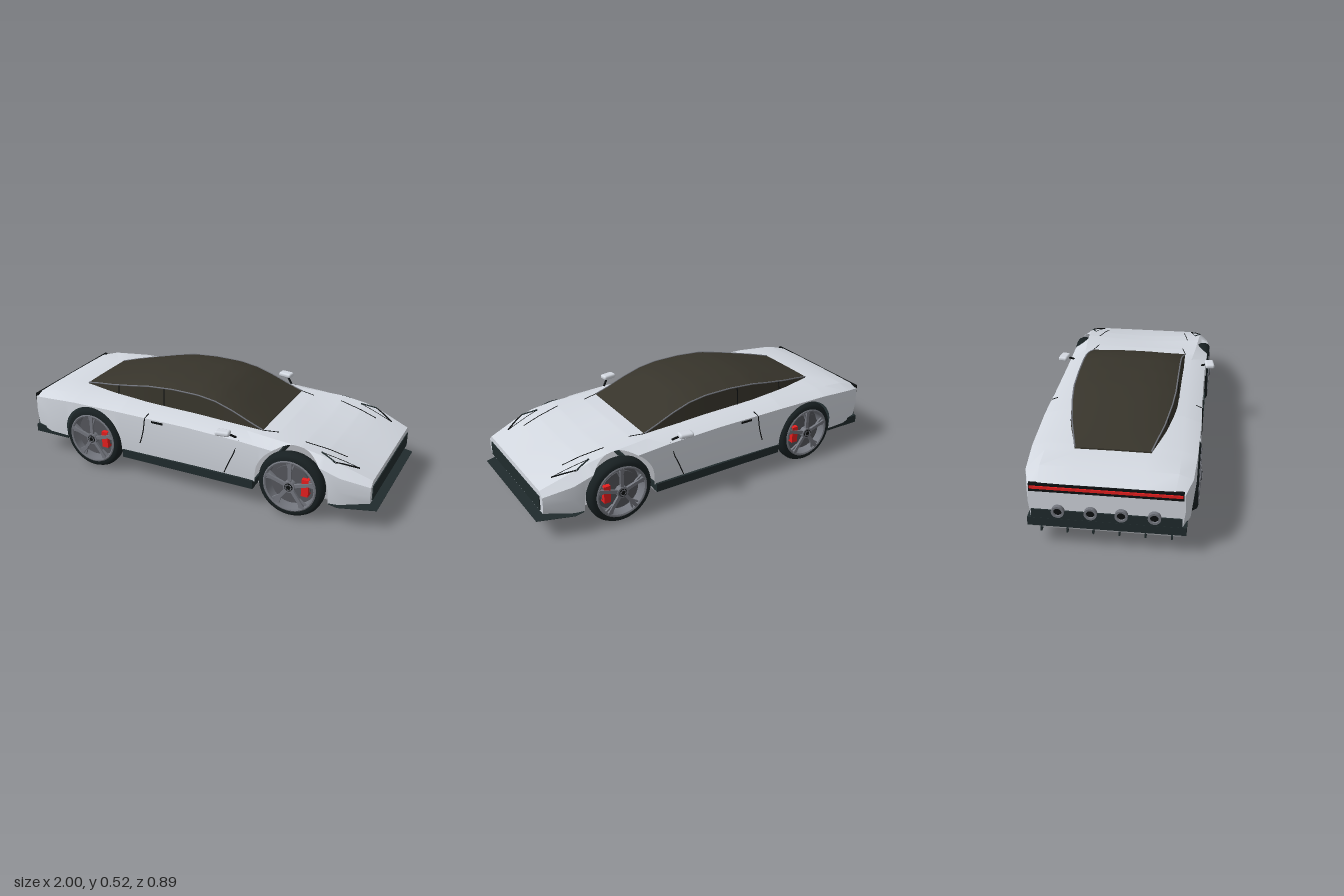
import * as THREE from 'three';
import { toCreasedNormals } from 'three/addons/utils/BufferGeometryUtils.js';
import { RoundedBoxGeometry } from 'three/addons/geometries/RoundedBoxGeometry.js';

const mat = (name, color, side = THREE.FrontSide) => {
  const m = new THREE.MeshStandardMaterial({ color, side });
  m.name = name;
  return m;
};

// Linear lookup in a table of rows sorted by their first value
function lookup(rows, x) {
  let i = 0;
  while (i < rows.length - 2 && x > rows[i + 1][0]) i++;
  const a = rows[i], b = rows[i + 1];
  const t = THREE.MathUtils.clamp((x - a[0]) / (b[0] - a[0]), 0, 1);
  return a.map((v, k) => v + (b[k] - v) * t);
}

// Symmetric loft along x; section(x) gives half a section, [z, y], from centre to lower edge
function loft(xs, section, crease) {
  const pos = [], idx = [];
  let n = 0;
  xs.forEach((x) => {
    const half = section(x);
    const ring = [...half.slice(1).reverse(), ...half.map(([z, y]) => [-z, y])];
    n = ring.length;
    ring.forEach(([z, y]) => pos.push(x, y, z));
  });
  for (let i = 0; i < xs.length - 1; i++) for (let j = 0; j < n - 1; j++) {
    const a = i * n + j, b = a + 1, c = a + n, d = c + 1;
    idx.push(a, c, b, b, c, d);
  }
  const e = (xs.length - 1) * n;
  for (let j = 1; j < n - 1; j++) idx.push(0, j, j + 1, e, e + j + 1, e + j);
  const g = new THREE.BufferGeometry();
  g.setAttribute('position', new THREE.Float32BufferAttribute(pos, 3));
  g.setIndex(idx);
  return toCreasedNormals(g, crease);
}

// Body stations: x, centre top, edge top, shoulder y, edge half width, shoulder half width, lower y
const BODY = [
  [-0.98, 0.342, 0.34, 0.325, 0.31, 0.355, 0.15],
  [-0.88, 0.375, 0.37, 0.345, 0.32, 0.385, 0.14],
  [-0.7, 0.386, 0.384, 0.36, 0.32, 0.395, 0.14],
  [-0.4, 0.395, 0.395, 0.365, 0.315, 0.398, 0.14],
  [0, 0.39, 0.388, 0.36, 0.31, 0.39, 0.14],
  [0.3, 0.378, 0.376, 0.35, 0.31, 0.39, 0.14],
  [0.45, 0.37, 0.371, 0.342, 0.325, 0.394, 0.14],
  [0.6, 0.347, 0.365, 0.33, 0.335, 0.395, 0.125],
  [0.72, 0.325, 0.345, 0.305, 0.34, 0.392, 0.115],
  [0.82, 0.302, 0.314, 0.27, 0.335, 0.385, 0.12],
  [0.965, 0.26, 0.26, 0.235, 0.315, 0.345, 0.145],
];
const AXLE_Y = 0.175;
const ARCHES = [[-0.58, 0.18], [0.575, 0.192]];

function bodySection(x) {
  const [, yc, yt, ys, wt, w, yb] = lookup(BODY, x);
  const pts = [[0, yc], [wt * 0.5, yc + (yt - yc) * 0.35], [wt, yt], [w, ys], [w + 0.003, (ys + yb) / 2], [w - 0.008, yb]];
  // Trim the side along the wheel arch
  for (const [c, r] of ARCHES) {
    const d = Math.abs(x - c);
    if (d > r) continue;
    const cut = AXLE_Y + Math.sqrt(r * r - d * d);
    let k = 3;
    while (k < 5 && pts[k][1] > cut) k++;
    const a = pts[k - 1], b = pts[k];
    const t = THREE.MathUtils.clamp((a[1] - cut) / (a[1] - b[1]), 0, 1);
    const p = [a[0] + (b[0] - a[0]) * t, a[1] + (b[1] - a[1]) * t];
    for (let i = k; i < 6; i++) pts[i] = p;
  }
  return pts;
}

// Points lying on the body: from above and on the side
const topY = (x, z) => lookup(bodySection(x).slice(0, 4), z)[1];
const sideZ = (x, y) => lookup(bodySection(x).slice(2).map(([z, h]) => [-h, z]), -y)[1];

// Cabin stations: x, centre top, edge top, edge half width
const CABIN = [
  [-0.74, 0.391, 0.389, 0.18], [-0.65, 0.422, 0.41, 0.203], [-0.55, 0.451, 0.43, 0.228], [-0.4, 0.491, 0.461, 0.252],
  [-0.3, 0.51, 0.481, 0.261], [-0.15, 0.52, 0.492, 0.262], [0, 0.518, 0.49, 0.262],
  [0.1, 0.5, 0.475, 0.262], [0.2, 0.463, 0.443, 0.264], [0.3, 0.414, 0.402, 0.267], [0.37, 0.379, 0.377, 0.27],
];
function cabinSection(x) {
  const [, yc, ye, w] = lookup(CABIN, x);
  const arc = [0, 0.3, 0.6, 0.85, 1].map((t) => [w * t, yc + (ye - yc) * t * t * t]);
  return [...arc, [w + 0.012 * Math.min(1, (ye - 0.37) * 12), 0.368]];
}

export function createModel() {
  const car = new THREE.Group();
  car.name = 'sportsCar';
  const silver = mat('silver paint', 0xd3d8e0, THREE.DoubleSide);
  const glass = mat('tinted glass', 0x37342b);
  const dark = mat('dark trim', 0x202b2d);
  const black = mat('black line', 0x0c0f10);
  const rubber = mat('tyre rubber', 0x182022);
  const rimGrey = mat('rim grey', 0x73767e);
  const discGrey = mat('disc grey', 0x54565c);
  const red = mat('red', 0xfa2222);
  const grey = mat('underside grey', 0x9c9ea3);

  const add = (name, geo, m, x = 0, y = 0, z = 0, parent = car) => {
    const mesh = new THREE.Mesh(geo, m);
    mesh.name = name;
    mesh.position.set(x, y, z);
    parent.add(mesh);
    return mesh;
  };
  // Box given by its limits
  const box = (name, m, x0, x1, y0, y1, z0, z1, parent) =>
    add(name, new THREE.BoxGeometry(x1 - x0, y1 - y0, z1 - z0), m, (x0 + x1) / 2, (y0 + y1) / 2, (z0 + z1) / 2, parent);
  const line = (name, m, pts, r = 0.003) => {
    const path = new THREE.CurvePath();
    const v = pts.map((p) => new THREE.Vector3(...p));
    for (let i = 1; i < v.length; i++) path.add(new THREE.LineCurve3(v[i - 1], v[i]));
    return add(name, new THREE.TubeGeometry(path, (v.length - 1) * 6, r, 5), m);
  };

  // Body shell and the sloping underside of the nose
  const xs = BODY.map((r) => r[0]);
  for (const [c, r] of ARCHES) {
    xs.push(c - r - 0.0005, c + r + 0.0005);
    for (let i = 0; i <= 28; i++) xs.push(c + r * Math.cos((i / 28) * Math.PI));
  }
  xs.sort((a, b) => a - b);
  add('bodyShell', loft(xs, bodySection, 0.35), silver);
  add('noseUnderside', loft([0.768, 0.82, 0.965], (x) => {
    const [w, y] = bodySection(x)[5];
    return [[0, y], [w, y]];
  }, 0.35), silver);

  // Cabin
  const cx = [];
  for (let i = 0; i <= 37; i++) cx.push(-0.74 + i * 0.03);
  add('cabinGlass', loft(cx, cabinSection, 0.5), glass);

  // Grille and a thin splitter blade
  box('grille', dark, 0.962, 0.97, 0.155, 0.23, -0.315, 0.315);
  const plan = new THREE.Shape();
  [[0.77, -0.38], [0.82, -0.392], [1, -0.335], [1, 0.335], [0.82, 0.392], [0.77, 0.38]]
    .forEach(([x, z], i) => (i ? plan.lineTo(x, z) : plan.moveTo(x, z)));
  const splitter = add('frontSplitter', new THREE.ExtrudeGeometry(plan, { depth: 0.002, bevelEnabled: false }), dark, 0, 0.113, 0);
  splitter.rotation.x = Math.PI / 2;

  // Floor, diffuser and rear bumper
  box('floor', dark, -0.75, 0.66, 0.083, 0.1, -0.28, 0.28);
  box('underPlate', grey, -0.77, 0.76, 0.099, 0.105, -0.32, 0.32);
  box('floorEdge', grey, -0.39, 0.37, 0.09, 0.104, -0.375, 0.375);
  box('floorFront', dark, 0.362, 0.372, 0.1, 0.135, -0.36, 0.36);
  box('rearBumper', dark, -0.988, -0.775, 0.112, 0.155, -0.365, 0.365);
  box('rearPanel', dark, -0.987, -0.978, 0.15, 0.2, -0.345, 0.345);
  box('diffuserPlate', grey, -0.98, -0.77, 0.1, 0.112, -0.34, 0.34);
  for (let i = 0; i < 6; i++) {
    const z = -0.3 + i * 0.12;
    box('diffuserFin', dark, -0.99, -0.79, 0.085, 0.105, z - 0.004, z + 0.004);
  }

  // Tail light and exhausts
  box('tailLightHousing', black, -0.988, -0.972, 0.3, 0.341, -0.35, 0.35);
  box('tailLight', red, -0.993, -0.982, 0.316, 0.33, -0.345, 0.345);
  for (const z of [-0.22, -0.07, 0.07, 0.22]) {
    const ring = [[0.02, -0.02], [0.03, -0.02], [0.03, 0.012], [0.02, 0.012], [0.02, -0.02]].map((p) => new THREE.Vector2(...p));
    add('exhaustPipe', toCreasedNormals(new THREE.LatheGeometry(ring, 20), 0.6), rimGrey, -0.988, 0.2, z).rotation.z = Math.PI / 2;
    add('exhaustBore', new THREE.CylinderGeometry(0.021, 0.021, 0.01, 20), black, -0.985, 0.2, z).rotation.z = Math.PI / 2;
  }

  for (const s of [1, -1]) {
    const zr = (a, b) => (s > 0 ? [a, b] : [-b, -a]);
    const top = (x, z) => [x, topY(x, z) + 0.0025, s * z];
    const side = (x, y) => [x, y, s * (sideZ(x, y) + 0.001)];

    // Side skirt
    box('sideSkirt', dark, -0.393, 0.374, 0.1, 0.145, ...zr(0.36, 0.396));

    // Roof rail and pillar lines
    line('roofRail', rimGrey, CABIN.map(([x, , ye, w]) => [x, ye, s * w]), 0.004);
    for (const x of [-0.2, -0.5]) {
      line('pillarLine', black, cabinSection(x).slice(4).map(([z, y]) => [x, y, s * z]));
    }

    // Door gaps and handle
    line('doorGapRear', black, [side(-0.24, 0.375), side(-0.245, 0.362), side(-0.255, 0.29), side(-0.265, 0.25), side(-0.28, 0.21)]);
    line('doorGapFront', black, [side(0.29, 0.353), side(0.265, 0.27), side(0.25, 0.24), side(0.21, 0.15)]);
    box('doorHandle', black, -0.205, -0.14, 0.345, 0.355, ...zr(0.389, 0.398));

    // Headlight, bonnet crease and cowl gap
    const a = top(0.7, 0.31), b = top(0.885, 0.28), c = top(0.78, 0.34);
    line('headlightInner', black, [a, top(0.76, 0.301), top(0.82, 0.29), b], 0.0015);
    line('headlightOuter', black, [c, top(0.82, 0.319), b], 0.004);
    line('headlightEdge', dark, [a, c], 0.005);
    line('bonnetCrease', black, [top(0.6, 0.27), top(0.66, 0.261), top(0.72, 0.252), top(0.81, 0.24)], 0.002);
    line('cowlGap', black, [top(0.37, 0.272), top(0.45, 0.25)], 0.002);

    // Door mirror
    line('mirrorStalk', black, [[0.27, 0.358, s * 0.37], [0.235, 0.385, s * 0.4]], 0.006);
    const mirror = add('mirror', new RoundedBoxGeometry(0.076, 0.026, 0.05, 3, 0.011), silver, 0.218, 0.393, s * 0.415);
    mirror.rotation.y = s * 0.15;

    // Jacking rings
    for (const x of [-0.33, 0.36]) {
      const ring = add('jackRing', new THREE.TorusGeometry(0.018, 0.006, 8, 18), grey, x, 0.082, s * 0.27);
      ring.rotation.x = Math.PI / 2;
    }

    // Wheels
    for (const [x] of ARCHES) {
      const wheel = new THREE.Group();
      wheel.name = 'wheel';
      wheel.position.set(x, AXLE_Y - 0.002, s * 0.368);
      if (s < 0) wheel.rotation.y = Math.PI;
      car.add(wheel);
      const lathe = (name, pts, m) => {
        const g = new THREE.LatheGeometry(pts.map((p) => new THREE.Vector2(...p)), 48);
        add(name, toCreasedNormals(g, 0.6), m, 0, 0, 0, wheel).rotation.x = Math.PI / 2;
      };
      lathe('tyre', [[0.13, -0.036], [0.152, -0.037], [0.164, -0.03], [0.173, -0.012], [0.173, 0.012], [0.164, 0.03], [0.152, 0.037], [0.13, 0.036]], rubber);
      lathe('rimRing', [[0.122, -0.034], [0.136, -0.038], [0.139, 0.038], [0.133, 0.041], [0.126, 0.038], [0.122, -0.034]], rimGrey);
      const disc = (name, r, d, z, m) => { add(name, new THREE.CylinderGeometry(r, r, d, 40), m, 0, 0, z, wheel).rotation.x = Math.PI / 2; };
      disc('wheelBack', 0.126, 0.01, -0.028, discGrey);
      disc('brakeDisc', 0.102, 0.01, 0.008, discGrey);
      disc('hub', 0.03, 0.03, 0.03, rimGrey);
      disc('hubCap', 0.021, 0.008, 0.044, black);
      box('brakeCaliper', red, s * 0.08 - 0.018, s * 0.08 + 0.018, -0.037, 0.055, 0, 0.036, wheel);
      for (let i = 0; i < 5; i++) {
        const spoke = new THREE.Group();
        spoke.name = 'spoke';
        spoke.rotation.z = Math.PI / 2 + (i * Math.PI * 2) / 5;
        wheel.add(spoke);
        box('spokeArm', rimGrey, 0.015, 0.13, -0.009, 0.009, 0.028, 0.041, spoke);
        for (const k of [1, -1]) {
          const fork = box('spokeFork', rimGrey, 0.08, 0.132, -0.004, 0.004, 0.022, 0.033, spoke);
          fork.position.y = k * 0.013;
          fork.rotation.z = k * 0.35;
          add('wheelBolt', new THREE.BoxGeometry(0.006, 0.006, 0.006), rimGrey, 0.014, k * 0.005, 0.047, spoke);
        }
      }
    }
  }
  return car;
}
